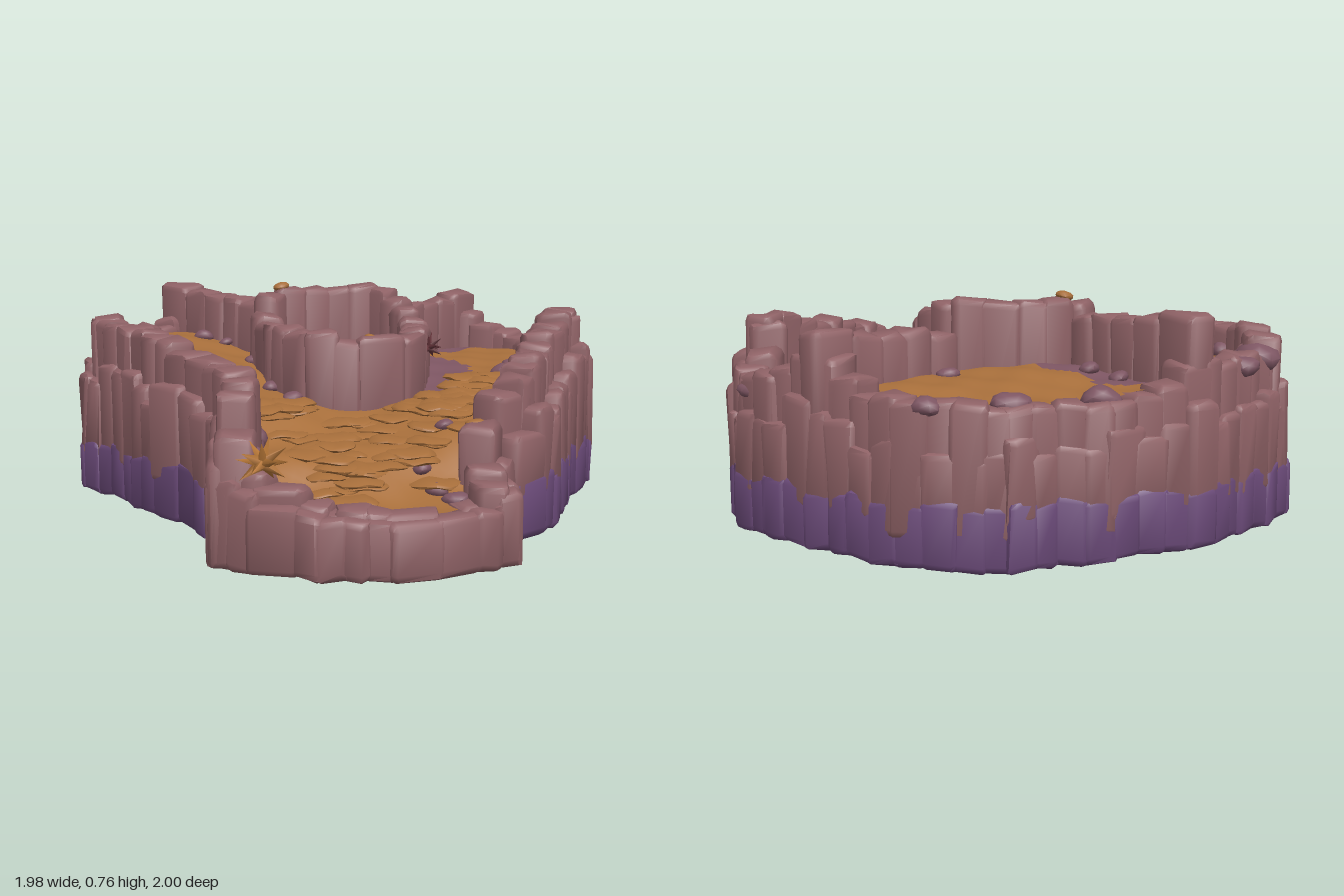
import * as THREE from 'three';
import { mergeGeometries, toCreasedNormals } from 'three/addons/utils/BufferGeometryUtils.js';
import { RoundedBoxGeometry } from 'three/addons/geometries/RoundedBoxGeometry.js';

const mat = (name, color, side = THREE.FrontSide) =>
  Object.assign(new THREE.MeshStandardMaterial({ color, side }), { name });

// Cliff edge: x, z, wall height
const OUTLINE = [
  [0, -0.99, 0.6], [0.18, -0.96, 0.5], [0.36, -0.92, 0.5], [0.49, -0.84, 0.49], [0.63, -0.79, 0.49], [0.75, -0.69, 0.49],
  [0.86, -0.53, 0.5], [0.9, -0.38, 0.52], [0.95, -0.22, 0.62], [0.98, -0.05, 0.53], [0.97, 0.12, 0.52], [0.9, 0.28, 0.52],
  [0.81, 0.38, 0.64], [0.77, 0.49, 0.67], [0.62, 0.55, 0.65], [0.45, 0.62, 0.62], [0.3, 0.7, 0.58], [0.15, 0.78, 0.56],
  [0, 0.82, 0.52], [-0.13, 0.82, 0.47], [-0.25, 0.88, 0.34], [-0.35, 0.99, 0.26], [-0.5, 0.95, 0.22], [-0.62, 0.91, 0.21],
  [-0.73, 0.83, 0.21], [-0.83, 0.73, 0.22], [-0.89, 0.6, 0.25], [-0.95, 0.48, 0.29], [-0.98, 0.34, 0.37], [-0.89, 0.24, 0.5],
  [-0.77, 0.15, 0.55], [-0.73, 0, 0.57], [-0.69, -0.12, 0.59], [-0.67, -0.25, 0.6], [-0.63, -0.42, 0.62], [-0.59, -0.58, 0.64],
  [-0.57, -0.75, 0.65], [-0.45, -0.91, 0.6], [-0.3, -0.95, 0.57], [-0.15, -0.97, 0.57], [0, -0.99, 0.6],
];
// Wall around the central shaft, and the two dividing walls
const RING = [
  [0.03, -0.38, 0.75], [0.2, -0.31, 0.73], [0.35, -0.19, 0.73], [0.33, -0.04, 0.69], [0.23, 0.1, 0.64], [0.1, 0.2, 0.61],
  [-0.02, 0.24, 0.6], [-0.14, 0.17, 0.61], [-0.25, 0.05, 0.63], [-0.23, -0.1, 0.64], [-0.15, -0.24, 0.64], [-0.07, -0.35, 0.67],
  [0.03, -0.38, 0.75],
];
const BACK_WALL = [[0.01, -0.42, 0.68], [0.01, -0.8, 0.7], [0.01, -0.94, 0.74]];
const RIGHT_WALL = [[0.38, -0.19, 0.64], [0.78, -0.2, 0.66], [0.92, -0.21, 0.71]];

// Floor heights inside the back right terrace and along the winding ramp
const TERRACE = [[0.2, -0.4, 0.53], [0.5, -0.35, 0.51], [0.15, -0.85, 0.51], [0.7, -0.6, 0.48], [0.4, -0.8, 0.48]];
const RAMP = [
  [-0.6, 0.75, 0.19], [-0.8, 0.55, 0.2], [-0.4, 0.85, 0.21], [-0.35, 0.45, 0.33], [-0.6, 0.3, 0.32], [0, 0.48, 0.42], [-0.1, 0.6, 0.38],
  [0.4, 0.38, 0.46], [0.8, 0.1, 0.47], [0.5, 0, 0.47], [-0.5, 0, 0.43], [-0.4, -0.4, 0.51], [-0.2, -0.8, 0.55], [-0.4, -0.8, 0.55],
];
function floorHeight(x, z) {
  let sum = 0, total = 0;
  for (const [px, pz, h] of (x > 0.01 && z < -0.2 ? TERRACE : RAMP)) {
    const w = 1 / ((x - px) ** 2 + (z - pz) ** 2 + 0.004) ** 1.5;
    sum += w * h;
    total += w;
  }
  return sum / total + 0.004 * Math.sin(31 * x + 9 * z) * Math.sin(27 * z - 8 * x);
}
// Bare ground by the back wall, around the shaft, along the right wall and under the left wall
const isBareRock = (x, z) =>
  (x > 0 && x < 0.16 + 0.02 * Math.sin(z * 25) && z > -0.78 && z < -0.3) ||
  (x > 0.1 && z > -0.2 && Math.hypot(x - 0.15, z) < 0.32) || (x > 0.3 && z > -0.2 && z < -0.09) ||
  (x < -0.5 && z > 0 && z < 0.48 && 0.8 * (x + 0.58) + 0.6 * (z - 0.1) < 0.03);
const bottomHeight = (x, z) => 0.025 - 0.025 * Math.exp(-((x - 0.62) ** 2 + (z + 0.6) ** 2) / 0.12);

// Visits evenly spaced spots on a path with the position, height, direction and spacing
function walk(path, step, visit) {
  for (let i = 0; i < path.length - 1; i++) {
    const [a, b] = [path[i], path[i + 1]];
    const length = Math.hypot(b[0] - a[0], b[1] - a[1]);
    const n = Math.max(1, Math.round(length / step));
    for (let k = 0; k < n; k++) {
      const [x, z, h] = a.map((v, c) => v + (b[c] - v) * (k + 0.5) / n);
      visit(x, z, h, (b[0] - a[0]) / length, (b[1] - a[1]) / length, length / n);
    }
  }
}

// Distance from the centre to a closed path in a given direction
const CX = 0.04, CZ = -0.05;
function reach(path, angle) {
  const dx = Math.cos(angle), dz = Math.sin(angle);
  let best = 0;
  for (let i = 0; i < path.length - 1; i++) {
    const ax = path[i][0] - CX, az = path[i][1] - CZ;
    const ex = path[i + 1][0] - CX - ax, ez = path[i + 1][1] - CZ - az;
    const det = dx * ez - dz * ex;
    const t = (ax * ez - az * ex) / det, s = (ax * dz - az * dx) / det;
    if (t > 0 && s >= -1e-6 && s <= 1 + 1e-6) best = Math.max(best, t);
  }
  return best;
}

// Ring-shaped sheet between the shaft and the cliff; keep() picks its cells
function sheet(height, inner, outer, keep, faceDown) {
  const A = 180, R = 26, pos = [], index = [];
  for (let i = 0; i <= A; i++) {
    const angle = (i / A) * Math.PI * 2;
    const r0 = reach(RING, angle) - inner, r1 = reach(OUTLINE, angle) - outer;
    for (let j = 0; j <= R; j++) {
      const r = r0 + (r1 - r0) * j / R;
      const x = CX + r * Math.cos(angle), z = CZ + r * Math.sin(angle);
      pos.push(x, height(x, z), z);
    }
  }
  for (let i = 0; i < A; i++) for (let j = 0; j < R; j++) {
    const a = i * (R + 1) + j, b = a + R + 1;
    if (!keep(pos[a * 3], pos[a * 3 + 2])) continue;
    if (faceDown) index.push(a, a + 1, b, b, a + 1, b + 1);
    else index.push(a, b, a + 1, b, b + 1, a + 1);
  }
  const g = new THREE.BufferGeometry();
  g.setAttribute('position', new THREE.Float32BufferAttribute(pos, 3));
  g.setIndex(index);
  g.computeVertexNormals();
  return g;
}

// Bends a geometry slightly so that it looks weathered
function weather(g, k) {
  const p = g.attributes.position;
  for (let i = 0; i < p.count; i++) {
    const x = p.getX(i), y = p.getY(i), z = p.getZ(i);
    p.setXYZ(i, x + k * Math.sin(41 * y + 53 * z), y + k * Math.sin(47 * x + 39 * z), z + k * Math.sin(43 * y + 51 * x));
  }
  g.deleteAttribute('uv');
  return toCreasedNormals(g, 0.9);
}

export function createModel() {
  const group = new THREE.Group();
  const rock = mat('mauve rock', 0x8f6266), purple = mat('purple rock', 0x6c4b7a);
  const pebble = mat('dusky rock', 0x7e5663), sand = mat('ochre ground', 0xa86f3b);
  const straw = mat('straw leaves', 0xb87838, THREE.DoubleSide), wine = mat('wine leaves', 0x68363c, THREE.DoubleSide);
  let seed = 7;
  const rnd = () => (seed = (seed * 16807) % 2147483647) / 2147483647;
  const add = (name, parts, material) => {
    const mesh = new THREE.Mesh(mergeGeometries(parts), material);
    mesh.name = name;
    group.add(mesh);
  };
  const block = (x, z, y0, y1, w, d, tx, tz) => {
    const g = new RoundedBoxGeometry(w, y1 - y0, d, 1, 0.024);
    g.rotateY(Math.atan2(-tz, tx) + (rnd() - 0.5) * 0.2);
    g.translate(x, (y0 + y1) / 2, z);
    return weather(g, 0.006);
  };
  const stone = (x, y, z, r, flat) => {
    const g = new THREE.IcosahedronGeometry(r, 1);
    g.scale(1, flat, 1).rotateY(rnd() * 6).translate(x, y, z);
    return weather(g, 0.004);
  };

  // Cliff: a low outer tier with a purple foot, and a taller tier behind it
  const foot = [], lower = [], upper = [];
  walk(OUTLINE, 0.092, (x, z, h, tx, tz, gap) => {
    const at = (d) => [x - tz * d, z + tx * d];
    const [ox, oz] = at(0.04 + rnd() * 0.018);
    const ledge = 0.2 + (h - 0.2) * (0.5 + rnd() * 0.25);
    const w = gap + 0.025 + rnd() * 0.02;
    const purpleFoot = x > -0.18 || z < 0.22;
    if (purpleFoot) foot.push(block(ox, oz, bottomHeight(x, z) + 0.006, 0.21 + rnd() * 0.025, w, 0.108, tx, tz));
    lower.push(block(ox, oz, purpleFoot ? 0.15 : 0.033, ledge, w, 0.1, tx, tz));
    const inset = x > -0.2 && z > 0.35 ? 0.11 : x > 0 && h < 0.54 ? 0.06 : 0.085;
    const [ix, iz] = at(inset + rnd() * 0.015);
    upper.push(block(ix, iz, 0.1, h + (rnd() - 0.5) * 0.03, gap + 0.035, 0.115, tx, tz));
  });
  add('cliffFoot', foot, purple);
  add('cliffLowerTier', lower, rock);
  add('cliffUpperTier', upper, rock);

  // Wall and lining of the central shaft
  const shaft = [], lining = [];
  walk(RING, 0.1, (x, z, h, tx, tz, gap) => {
    lining.push(block(x, z, 0.033, 0.3, gap + 0.04, 0.1, tx, tz));
    shaft.push(block(x, z, 0.25, h + (rnd() - 0.5) * 0.025, gap + 0.03, 0.1, tx, tz));
  });
  add('shaftLining', lining, purple);
  add('shaftWall', shaft, rock);

  // Dividing walls
  for (const [name, path] of [['backDividingWall', BACK_WALL], ['rightDividingWall', RIGHT_WALL]]) {
    const parts = [];
    walk(path, 0.1, (x, z, h, tx, tz, gap) =>
      parts.push(block(x, z, 0.3, h + (rnd() - 0.5) * 0.02, gap + 0.02, 0.1 + rnd() * 0.02, tx, tz)));
    add(name, parts, rock);
  }

  // Ground, bare patches and underside
  add('ground', [sheet(floorHeight, 0, 0.08, (x, z) => !isBareRock(x, z))], sand);
  add('bareGround', [sheet(floorHeight, 0, 0.08, isBareRock)], pebble);
  add('underside', [sheet(bottomHeight, 0.045, 0.012, () => true, true)], rock);

  // Flat cobbles over the lower ramp, and ochre tufts on the wall tops
  const cobbles = [];
  for (let i = 0; i < 110; i++) {
    const angle = 1.0 + rnd() * 2;
    const r0 = reach(RING, angle) + 0.1, r = r0 + (reach(OUTLINE, angle) - 0.2 - r0) * rnd();
    const x = CX + r * Math.cos(angle), z = CZ + r * Math.sin(angle);
    if (!isBareRock(x, z)) cobbles.push(stone(x, floorHeight(x, z), z, 0.05 + rnd() * 0.035, 0.17));
  }
  add('cobbles', cobbles, sand);
  const tufts = [[0.04, 0.74, -0.37], [-0.1, 0.607, 0.19], [-0.2, 0.4, 0.7], [-0.34, 0.26, 0.87]];
  add('wallTufts', tufts.map(([x, y, z]) => stone(x, y, z, 0.032, 0.5)), sand);

  // Boulders: x, z, radius, plus rubble at the foot of the left wall
  const boulders = [
    [-0.36, -0.84, 0.075], [-0.2, -0.92, 0.05], [0.32, -0.83, 0.06], [0.56, -0.71, 0.06], [0.77, -0.59, 0.05], [0.1, -0.68, 0.035],
    [-0.06, -0.68, 0.035], [-0.06, -0.56, 0.025], [0.1, -0.55, 0.035], [0.44, -0.27, 0.035], [-0.45, -0.27, 0.045],
    [-0.15, -0.32, 0.035], [-0.29, -0.09, 0.03], [-0.3, 0.02, 0.035], [0.38, 0.37, 0.04], [0.54, 0.3, 0.045], [0.15, 0.52, 0.04],
    [-0.2, 0.58, 0.03], [-0.39, 0.65, 0.03], [-0.42, 0.73, 0.035], [-0.43, 0.81, 0.04], [0.92, 0.1, 0.05],
  ].map(([x, z, r]) => stone(x, floorHeight(x, z) + 0.005, z, r, 0.65));
  walk([[-0.84, 0.42], [-0.7, 0.27], [-0.58, 0.1], [-0.54, -0.1], [-0.5, -0.4], [-0.44, -0.72]], 0.06, (x, z) => {
    const r = 0.025 + rnd() * 0.025;
    boulders.push(stone(x + (rnd() - 0.6) * 0.07, floorHeight(x, z) + r * 0.4, z, r, 0.9));
  });
  add('boulders', boulders, pebble);

  // Spiky plants
  const plant = (name, x, y, z, size, material) => {
    const leaves = [];
    for (let i = 0; i < 14; i++) {
      const up = 1 - (i + 0.5) / 8, turn = i * 2.4, flat = Math.sqrt(1 - up * up);
      const dir = new THREE.Vector3(Math.cos(turn) * flat, up, Math.sin(turn) * flat);
      const leaf = new THREE.ConeGeometry(size * 0.25, size, 4).translate(0, size / 2, 0);
      leaf.applyQuaternion(new THREE.Quaternion().setFromUnitVectors(new THREE.Vector3(0, 1, 0), dir));
      leaves.push(leaf.translate(x, y, z));
    }
    add(name, leaves, material);
  };
  plant('strawPlant', -0.92, 0.36, 0.51, 0.08, straw);
  plant('winePlant', 0.21, 0.55, 0.18, 0.055, wine);
  return group;
}
